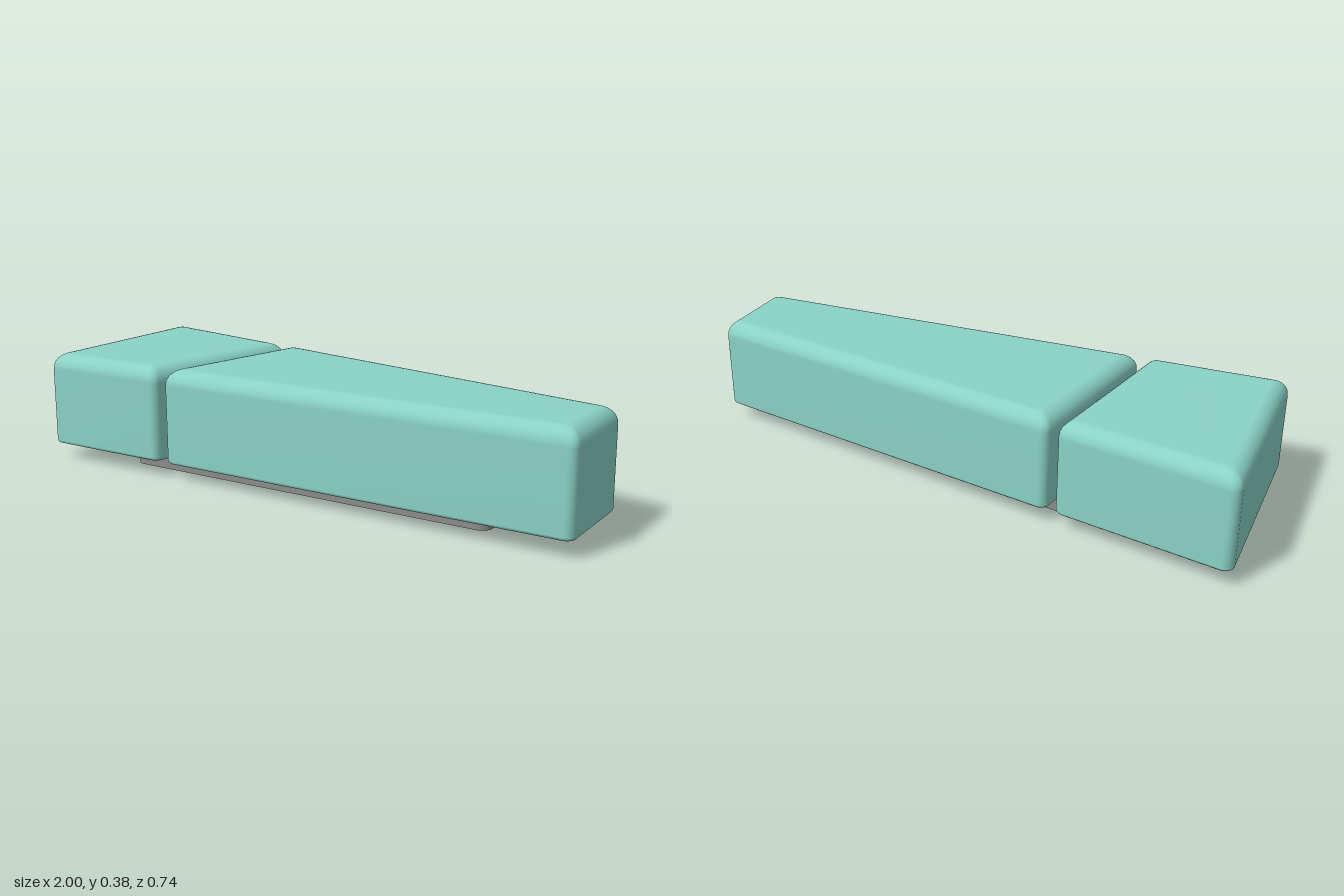
import * as THREE from 'three';

// Inset a polygon (points [x, z]) and round every corner with an arc.
function outline(poly, inset, radius, steps = 5) {
  const V = poly.map(([x, z]) => new THREE.Vector2(x, z));
  const n = V.length, dir = V.map((p, i) => V[(i + 1) % n].clone().sub(p).normalize());
  const pts = [];
  for (let i = 0; i < n; i++) {
    const a = dir[(i + n - 1) % n], b = dir[i];
    const turn = Math.atan2(a.cross(b), a.dot(b));
    // arc centre lies (inset + radius) inside both edges
    const na = new THREE.Vector2(-a.y, a.x), nb = new THREE.Vector2(-b.y, b.x);
    const centre = na.clone().add(nb).multiplyScalar((inset + radius) / (1 + a.dot(b))).add(V[i]);
    const start = Math.atan2(-na.y, -na.x);
    for (let k = 0; k <= steps; k++) {
      const t = start + turn * k / steps;
      pts.push([centre.x + radius * Math.cos(t), centre.y + radius * Math.sin(t)]);
    }
  }
  return pts;
}

// Add a fan cap over a ring; up = +1 or -1.
function cap(pos, index, first, n, y, up) {
  let x = 0, z = 0;
  for (let i = first; i < first + n; i++) { x += pos[i * 3] / n; z += pos[i * 3 + 2] / n; }
  const c = pos.length / 3;
  pos.push(x, y, z);
  for (let i = 0; i < n; i++) {
    const a = first + i, b = first + (i + 1) % n;
    if (up > 0) index.push(c, b, a); else index.push(c, a, b);
  }
}

function toGeometry(pos, index) {
  const g = new THREE.BufferGeometry();
  g.setAttribute('position', new THREE.Float32BufferAttribute(pos, 3));
  g.setIndex(index);
  g.computeVertexNormals();
  return g;
}

// Stack of rounded outlines; rings are [y, inset], bottom to top.
function loft(poly, rings, radius) {
  const pos = [], index = [];
  let n = 0;
  rings.forEach(([y, inset], r) => {
    const ring = outline(poly, inset, Math.max(radius - inset * 0.4, 0.01));
    n = ring.length;
    ring.forEach(([x, z]) => pos.push(x, y, z));
    if (r === 0) return;
    for (let i = 0; i < n; i++) {
      const j = (i + 1) % n, lo = (r - 1) * n, hi = r * n;
      index.push(lo + i, hi + i, lo + j, lo + j, hi + i, hi + j);
    }
  });
  cap(pos, index, (rings.length - 1) * n, n, rings[rings.length - 1][0], 1);
  return toGeometry(pos, index);
}

// Flat downward-facing panel.
function underside(poly, y, inset, radius) {
  const pos = [], index = [];
  const ring = outline(poly, inset, radius);
  ring.forEach(([x, z]) => pos.push(x, y, z));
  cap(pos, index, 0, ring.length, y, -1);
  return toGeometry(pos, index);
}

export function createModel() {
  const model = new THREE.Group();
  const teal = new THREE.MeshStandardMaterial({ color: 0x8ad2c6 });
  const black = new THREE.MeshStandardMaterial({ color: 0x060606 });
  const grey = new THREE.MeshStandardMaterial({ color: 0x8c8c8c });
  const add = (parent, name, geometry, material) => {
    const mesh = new THREE.Mesh(geometry, material);
    mesh.name = name;
    parent.add(mesh);
  };

  // Cushion section: tight bottom edge, straight walls, soft top edge
  const bottom = 0.055, top = 0.385, small = 0.012, big = 0.055;
  const rings = [];
  for (let k = 0; k <= 3; k++) {
    const t = k / 3 * Math.PI / 2;
    rings.push([bottom + small * (1 - Math.cos(t)), small * (1 - Math.sin(t))]);
  }
  for (let k = 0; k <= 6; k++) {
    const t = k / 6 * Math.PI / 2;
    rings.push([top - big * (1 - Math.sin(t)), big * (1 - Math.cos(t))]);
  }

  // Two cushions split by a slanted gap
  const cushions = {
    wideCushion: [[-1, -0.375], [-0.393, -0.253], [-0.516, 0.367], [-1, 0.367]],
    longCushion: [[-0.363, -0.25], [1, 0.023], [1, 0.367], [-0.486, 0.367]],
  };
  for (const [name, poly] of Object.entries(cushions)) {
    const group = new THREE.Group();
    group.name = name;
    add(group, name + 'Cover', loft(poly, rings, 0.03), teal);
    add(group, name + 'Underside', underside(poly, bottom, small, 0.025), black);
    model.add(group);
  }

  // Recessed plinth under both cushions
  const plinth = [[-0.7, -0.22], [0.69, 0.083], [0.69, 0.265], [-0.7, 0.265]];
  const base = new THREE.Group();
  base.name = 'plinth';
  const wall = loft(plinth, [[0, 0], [0.052, 0]], 0.035).toNonIndexed();
  wall.computeVertexNormals();
  add(base, 'plinthBody', wall, grey);
  add(base, 'plinthUnderside', underside(plinth, 0, 0, 0.035), grey);
  model.add(base);
  return model;
}
